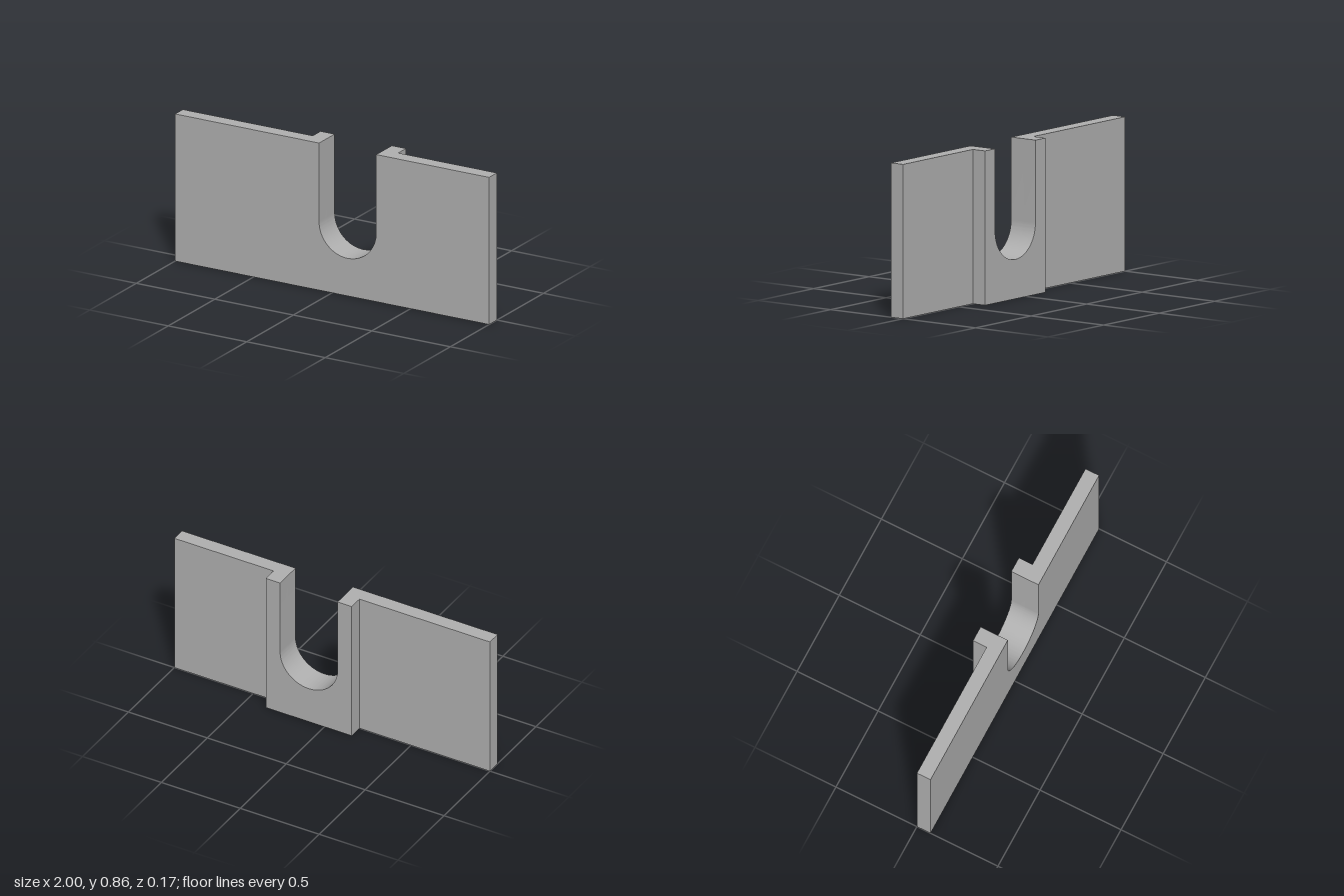
import * as THREE from 'three';
import { toCreasedNormals } from 'three/addons/utils/BufferGeometryUtils.js';

const HEIGHT = 0.857;
const HALF_DEPTH = 0.084;
const SLOT = { x: 0.099, y: 0.401, r: 0.182 };

// Rectangular slab with a round-bottomed slot open at the top edge
function slottedSlab(left, right, depth) {
  const { x, y, r } = SLOT;
  const shape = new THREE.Shape();
  shape.moveTo(left, 0);
  shape.lineTo(right, 0);
  shape.lineTo(right, HEIGHT);
  shape.lineTo(x + r, HEIGHT);
  shape.lineTo(x + r, y);
  shape.absarc(x, y, r, 0, -Math.PI, true);
  shape.lineTo(x - r, HEIGHT);
  shape.lineTo(left, HEIGHT);
  shape.closePath();
  const geometry = new THREE.ExtrudeGeometry(shape, { depth, bevelEnabled: false, curveSegments: 40 });
  return toCreasedNormals(geometry, 0.5);
}

export function createModel() {
  const group = new THREE.Group();
  group.name = 'slottedPlate';
  const grey = new THREE.MeshStandardMaterial({ color: 0xb0b0b0 });
  grey.name = 'grey';

  // Wide front plate
  const plate = new THREE.Mesh(slottedSlab(-1, 1, HALF_DEPTH), grey);
  plate.name = 'frontPlate';

  // Raised pad around the slot on the back
  const pad = new THREE.Mesh(slottedSlab(SLOT.x - 0.272, SLOT.x + 0.272, HALF_DEPTH), grey);
  pad.name = 'backPad';
  pad.position.z = -HALF_DEPTH;

  group.add(plate, pad);
  return group;
}
